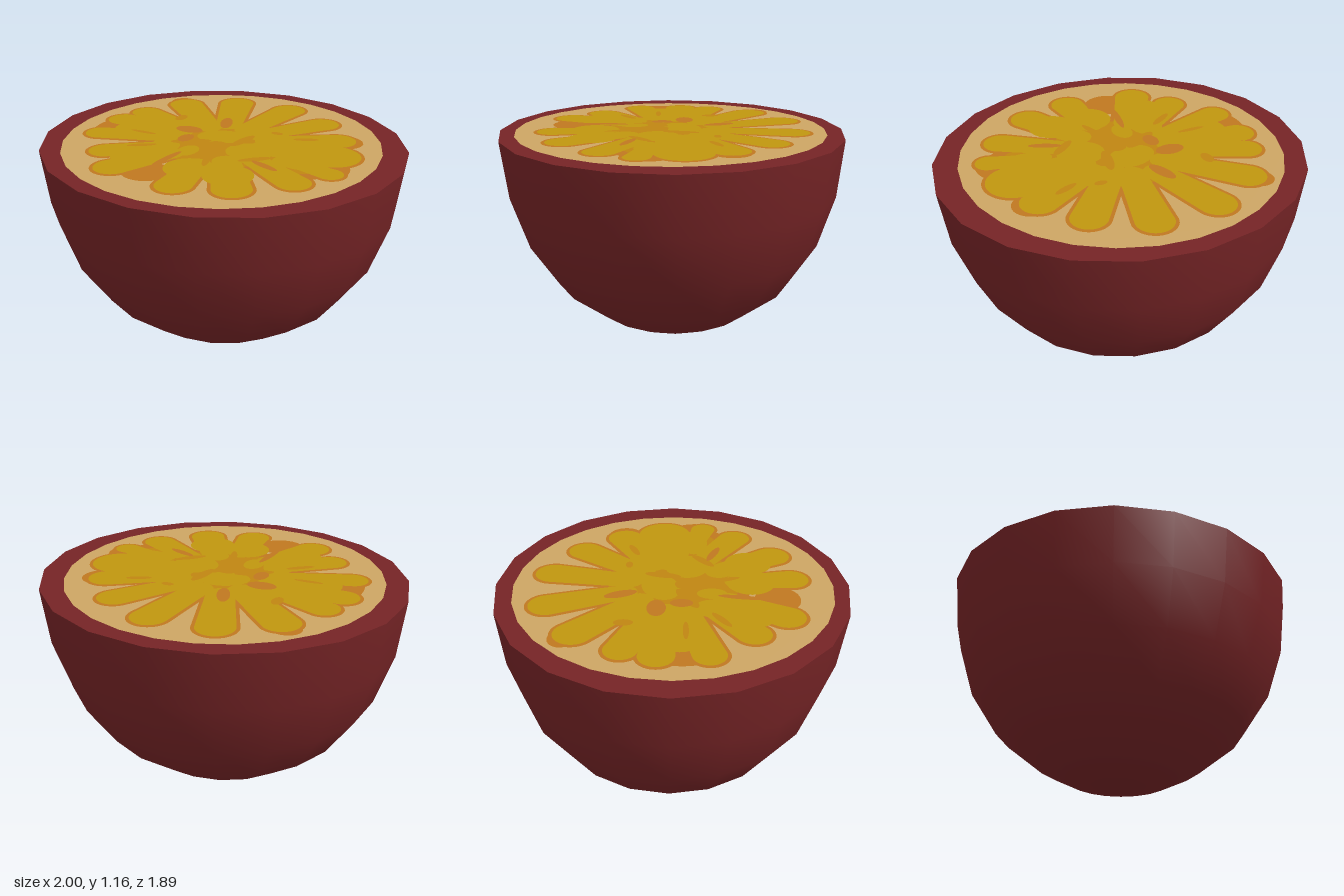
import * as THREE from 'three';

const TOP = 1.16;
const DEPTH = 0.945; // the fruit is slightly narrower front to back

const material = (name, color) => {
  const m = new THREE.MeshStandardMaterial({ color });
  m.name = name;
  return m;
};

// Flat outline lying face up; shapes are drawn in (x, -z)
function plate(name, shapes, mat, lift) {
  const geometry = new THREE.ShapeGeometry(shapes, 14);
  geometry.rotateX(-Math.PI / 2);
  const mesh = new THREE.Mesh(geometry, mat);
  mesh.name = name;
  mesh.position.y = TOP + lift;
  return mesh;
}

// Tapered capsule from an inner point to a rounded outer tip
function petal(x0, z0, r0, x1, z1, r1) {
  const a = Math.atan2(z0 - z1, x1 - x0), h = Math.PI / 2;
  const s = new THREE.Shape();
  s.absarc(x1, -z1, r1, a - h, a + h, false);
  s.absarc(x0, -z0, r0, a + h, a + 3 * h, false);
  s.closePath();
  return s;
}

function ellipse(x, z, rx, rz, turn = 0) {
  const s = new THREE.Shape();
  s.absellipse(x, -z, rx, rz, 0, Math.PI * 2, false, turn);
  return s;
}

export function createModel() {
  const model = new THREE.Group();
  model.name = 'halvedFruit';
  const skin = material('dark red skin', 0x762426);
  const pith = material('tan pith', 0xcda564);
  const juice = material('orange juice', 0xc07820);
  const amber = material('amber pulp', 0xc08512);
  const pulp = material('yellow pulp', 0xc0960e);

  // Rounded bowl of skin with twenty sides
  const profile = [[0, 0.003], [0.11, 0.01], [0.29, 0.045], [0.48, 0.14], [0.71, 0.32],
    [0.87, 0.56], [0.965, 0.85], [1, TOP]].map(([r, y]) => new THREE.Vector2(r, y));
  const bowl = new THREE.LatheGeometry(profile, 20);
  const p = bowl.attributes.position;
  for (let i = 0; i < p.count; i++) {
    const low = 1 - p.getY(i) / TOP; // the lower end leans slightly left and back
    p.setX(i, p.getX(i) - 0.012 * low);
    p.setZ(i, p.getZ(i) - 0.018 * low);
  }
  const shell = new THREE.Mesh(bowl, skin);
  shell.name = 'skin';
  shell.scale.z = DEPTH;
  model.add(shell);

  // Cut rim
  const rim = new THREE.Mesh(new THREE.RingGeometry(0.8, 1, 20).rotateX(-Math.PI / 2), skin);
  rim.name = 'cutRim';
  rim.scale.z = DEPTH;
  rim.position.y = TOP;
  model.add(rim);

  // Pith covering the cut face
  const pithShape = new THREE.Shape();
  pithShape.absellipse(-0.005, -0.005, 0.867, 0.855, 0, Math.PI * 2);
  model.add(plate('pith', pithShape, pith, 0.001));

  // Pulp segments: tip centre x, z, tip radius, inner end as a fraction of the tip
  const segments = [
    [-0.22, -0.64, 0.10, 0.4], [0.12, -0.65, 0.098, 0.35], [0.39, -0.50, 0.095, 0.35],
    [0.56, -0.28, 0.10, 0.4], [0.61, -0.05, 0.15, 0.45], [0.68, 0.18, 0.07, 0.7],
    [0.56, 0.36, 0.09, 0.35], [0.33, 0.56, 0.10, 0.45], [0.06, 0.64, 0.095, 0.55],
    [-0.33, 0.575, 0.10, 0.5], [-0.49, 0.40, 0.09, 0.5], [-0.67, 0.18, 0.085, 0.35],
    [-0.68, -0.07, 0.09, 0.4], [-0.63, -0.24, 0.085, 0.4], [-0.49, -0.48, 0.10, 0.35]];
  const outline = (grow, taper) => segments.map(([x, z, r, k]) =>
    petal(x * k, z * k, r * taper + grow, x, z, r + grow));

  // Orange juice edging the segments and pooling in a few gaps
  model.add(plate('juiceEdge', [...outline(0.018, 0.75), ellipse(0, 0.02, 0.42, 0.4),
    ellipse(-0.15, 0.55, 0.13, 0.12), ellipse(0.66, 0.13, 0.1, 0.13),
    ellipse(-0.70, 0.05, 0.06, 0.14), ellipse(-0.53, -0.53, 0.08, 0.07),
    ellipse(0.60, -0.28, 0.1, 0.1), ellipse(0.5, 0.22, 0.16, 0.09)], juice, 0.002));

  // Amber centre
  model.add(plate('amberCentre', [ellipse(0.02, 0.01, 0.38, 0.35),
    ellipse(0.45, 0.18, 0.15, 0.08), ellipse(-0.42, 0.06, 0.2, 0.1)], amber, 0.003));

  // Yellow segments and the small lobes in the middle
  model.add(plate('pulpSegments', outline(0, 0.75), pulp, 0.004));
  model.add(plate('pulpLobes', [ellipse(-0.03, -0.06, 0.14, 0.1, 0.3), ellipse(0.17, -0.2, 0.13, 0.11),
    ellipse(0.2, 0.08, 0.13, 0.12), ellipse(-0.25, 0.22, 0.09, 0.11), ellipse(-0.1, 0.21, 0.055, 0.08),
    ellipse(0.02, 0.42, 0.13, 0.13), ellipse(-0.3, -0.2, 0.1, 0.07, -0.6),
    ellipse(-0.3, 0.38, 0.15, 0.1, 0.8), ellipse(0.42, -0.12, 0.14, 0.14),
    ellipse(0.24, 0.42, 0.13, 0.13), ellipse(-0.5, 0.04, 0.15, 0.13),
    ellipse(0.5, 0.12, 0.15, 0.08)], pulp, 0.005));

  // Streaks across the middle
  model.add(plate('amberStreaks', [ellipse(-0.15, 0.08, 0.11, 0.035, 0.5), ellipse(0.1, -0.05, 0.03, 0.1, -0.2),
    ellipse(0.0, 0.05, 0.05, 0.035), ellipse(0.27, 0.17, 0.09, 0.025, 0.7),
    ellipse(0.22, -0.24, 0.035, 0.02), ellipse(-0.39, -0.24, 0.03, 0.05),
    ellipse(-0.46, 0.07, 0.08, 0.015), ellipse(-0.36, 0.25, 0.08, 0.02, 0.6),
    ellipse(0.05, 0.28, 0.02, 0.09, 0.3), ellipse(0.4, -0.22, 0.07, 0.02, 0.4)], amber, 0.006));
  model.add(plate('juiceStreaks', [ellipse(-0.11, -0.27, 0.035, 0.09, 0.35), ellipse(-0.25, -0.08, 0.08, 0.05),
    ellipse(-0.14, 0.36, 0.02, 0.12, -0.15), ellipse(-0.2, 0.05, 0.04, 0.06),
    ellipse(0.35, 0.23, 0.09, 0.022, -0.4)], juice, 0.007));

  return model;
}
